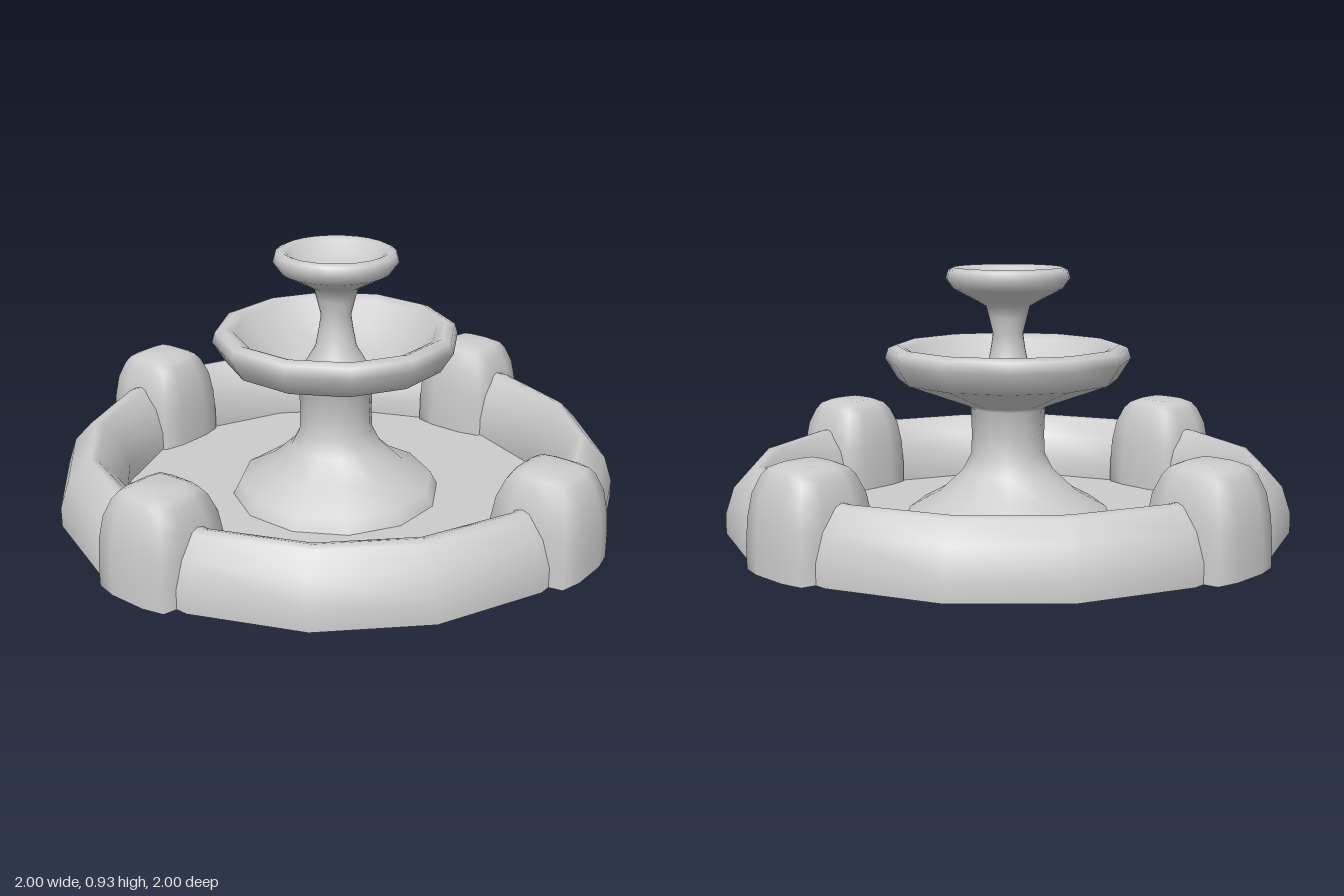
import * as THREE from 'three';

const material = new THREE.MeshStandardMaterial({ color: 0xcccccc, side: THREE.DoubleSide });

function lathe(name, profile, segments, phiStart = 0) {
  const points = profile.map(([r, y]) => new THREE.Vector2(r, y));
  const mesh = new THREE.Mesh(new THREE.LatheGeometry(points, segments, phiStart), material);
  mesh.name = name;
  return mesh;
}

// Domed pier with a rounded-square section, standing astride the basin wall
function pierGeometry() {
  const profile = [[1, 0], [1, 0.08], [0.97, 0.17], [0.89, 0.25], [0.74, 0.31], [0.62, 0.335], [0.42, 0.35], [0, 0.352]];
  const geometry = new THREE.LatheGeometry(profile.map(([r, y]) => new THREE.Vector2(r, y)), 16);
  const p = geometry.attributes.position;
  for (let i = 0; i < p.count; i++) {
    const x = p.getX(i), z = p.getZ(i), r = Math.hypot(x, z);
    if (r < 1e-6) continue;
    const k = 0.163 / Math.pow(Math.abs(x / r) ** 6 + Math.abs(z / r) ** 6, 1 / 6);
    p.setX(i, x * k);
    p.setZ(i, z * k);
  }
  geometry.computeVertexNormals();
  // Match the normals where the surface closes on itself
  const n = geometry.attributes.normal, rows = profile.length;
  for (let j = 0; j < rows; j++) {
    const a = j, b = 16 * rows + j;
    const v = new THREE.Vector3().fromBufferAttribute(n, a)
      .add(new THREE.Vector3().fromBufferAttribute(n, b)).normalize();
    n.setXYZ(a, v.x, v.y, v.z);
    n.setXYZ(b, v.x, v.y, v.z);
  }
  return geometry;
}

export function createModel() {
  const model = new THREE.Group();
  model.name = 'fountain';

  // Basin wall: sixteen-sided rounded ring, flats facing the axes
  const toCorner = 1 / Math.cos(Math.PI / 16);
  const wall = [[1, 0], [1, 0.07], [0.97, 0.165], [0.91, 0.232], [0.885, 0.24],
    [0.86, 0.232], [0.8, 0.165], [0.77, 0.07], [0.77, 0]];
  model.add(lathe('basinWall', wall.map(([r, y]) => [r * toCorner, y]), 16, Math.PI / 16));

  // Basin floor
  const floor = new THREE.Mesh(new THREE.CircleGeometry(0.94, 8).rotateX(-Math.PI / 2), material);
  floor.name = 'basinFloor';
  model.add(floor);

  // Four piers on the diagonals
  const geometry = pierGeometry();
  for (let i = 0; i < 4; i++) {
    const angle = Math.PI / 4 + i * Math.PI / 2;
    const pier = new THREE.Mesh(geometry, material);
    pier.name = 'pier';
    pier.position.set(0.902 * Math.sin(angle), 0, 0.902 * Math.cos(angle));
    pier.rotation.y = angle;
    model.add(pier);
  }

  // Flared pedestal carrying the wide lower bowl
  model.add(lathe('pedestalAndLowerBowl', [
    [0.385, 0], [0.36, 0.05], [0.25, 0.11], [0.165, 0.19], [0.135, 0.25], [0.132, 0.32], [0.136, 0.42],
    [0.16, 0.435], [0.4, 0.525], [0.447, 0.6], [0.435, 0.638], [0.405, 0.65],
    [0.37, 0.635], [0.31, 0.56], [0.2, 0.49], [0, 0.47],
  ], 12));

  // Slender stem with the small upper bowl
  model.add(lathe('stemAndUpperBowl', [
    [0.13, 0.475], [0.11, 0.51], [0.075, 0.57], [0.062, 0.64], [0.055, 0.69], [0.07, 0.75], [0.08, 0.79],
    [0.115, 0.81], [0.2, 0.855], [0.225, 0.89], [0.216, 0.92], [0.195, 0.93],
    [0.175, 0.92], [0.14, 0.885], [0.08, 0.86], [0, 0.85],
  ], 24));

  return model;
}
